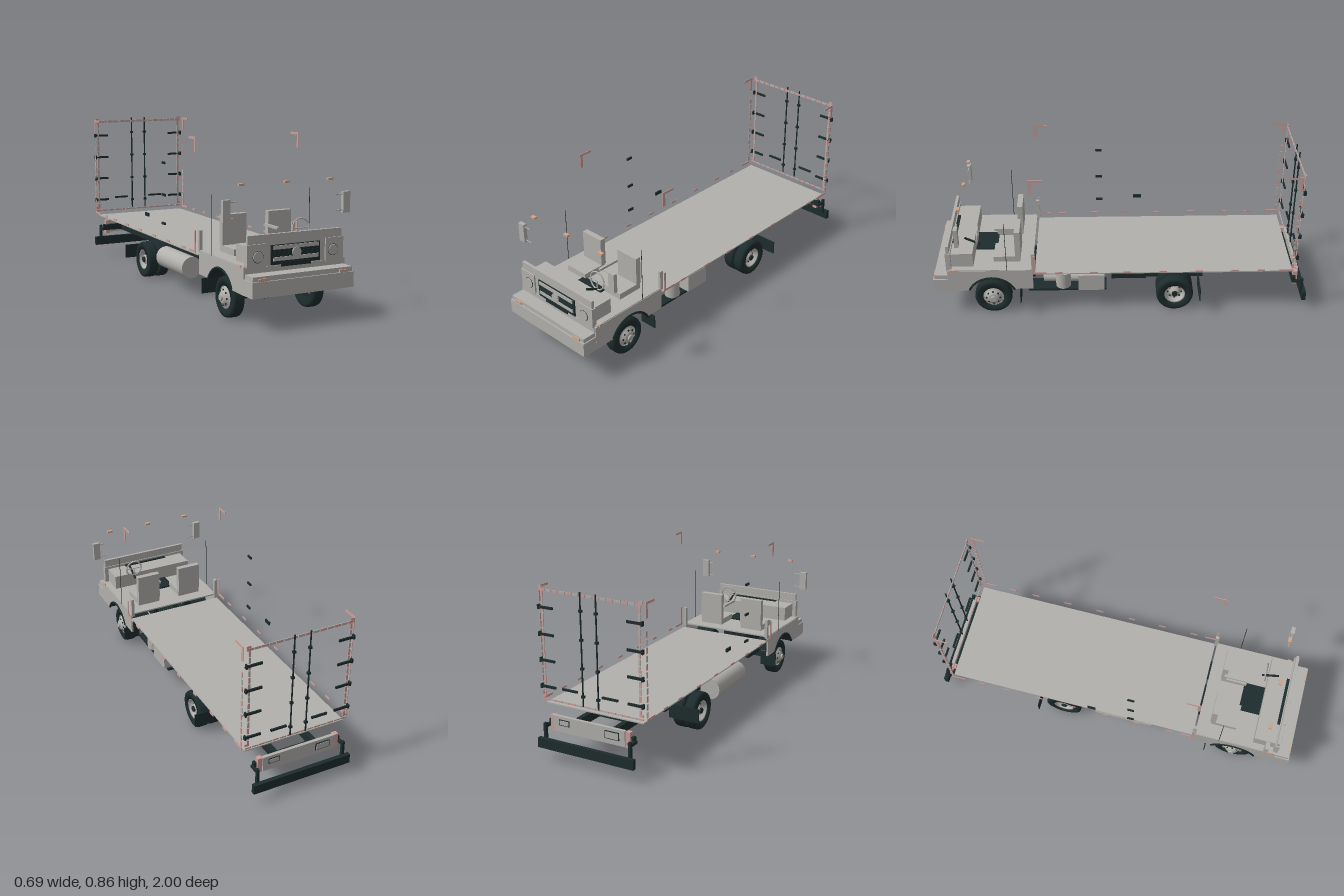
import * as THREE from 'three';

const mat = (name, color) => Object.assign(new THREE.MeshStandardMaterial({ color }), { name });

export function createModel() {
  const truck = new THREE.Group();
  truck.name = 'openTruck';
  const grey = mat('bodyGrey', 0xb2b0ac);
  const dark = mat('chassisBlack', 0x1e2c2d);
  const pink = mat('tapePink', 0xcb9d99);
  const orange = mat('lampOrange', 0xd3a284);
  const greySheet = mat('sheetGrey', 0xb2b0ac);
  greySheet.side = THREE.DoubleSide;
  const darkSheet = mat('linerBlack', 0x1e2c2d);
  darkSheet.side = THREE.DoubleSide;

  const add = (name, geo, m, x = 0, y = 0, z = 0, parent = truck) => {
    const mesh = new THREE.Mesh(geo, m);
    mesh.name = name;
    mesh.position.set(x, y, z);
    parent.add(mesh);
    return mesh;
  };
  // Box given by its low and high limits on each axis
  const box = (name, m, x0, x1, y0, y1, z0, z1) => add(name,
    new THREE.BoxGeometry(x1 - x0, y1 - y0, z1 - z0), m, (x0 + x1) / 2, (y0 + y1) / 2, (z0 + z1) / 2);
  // The same box on both sides of the truck
  const pair = (name, m, x0, x1, ...r) => {
    box(name + 'Left', m, x0, x1, ...r);
    box(name + 'Right', m, -x1, -x0, ...r);
  };
  // Round bar between two points
  const rod = (name, m, a, b, r, r2 = r, sides = 20) => {
    const p = new THREE.Vector3(...a), d = new THREE.Vector3(...b).sub(p);
    const mesh = add(name, new THREE.CylinderGeometry(r2, r, d.length(), sides), m);
    mesh.position.copy(p).addScaledVector(d, 0.5);
    mesh.quaternion.setFromUnitVectors(new THREE.Vector3(0, 1, 0), d.normalize());
    return mesh;
  };
  const lathe = (pts) => new THREE.LatheGeometry(pts.map(p => new THREE.Vector2(...p)), 36);

  // Cargo floor and ladder chassis
  box('cargoFloor', grey, -0.275, 0.275, 0.262, 0.268, -0.91, 0.46);
  pair('chassisRail', dark, 0.095, 0.12, 0.16, 0.205, -0.95, 0.47);
  pair('frontRail', dark, 0.095, 0.12, 0.135, 0.18, 0.47, 0.91);
  for (const z of [0.85, 0.5, 0.3, 0.08, -0.2, -0.38, -0.55, -0.72, -0.9])
    box('crossMember', dark, -0.1, 0.1, 0.165, 0.185, z - 0.015, z + 0.015);
  pair('leafSpringRear', dark, 0.1, 0.12, 0.125, 0.145, -0.45, -0.12);
  pair('leafSpringFront', dark, 0.1, 0.125, 0.115, 0.135, 0.53, 0.85);

  // Wheels: axis along y, outer face up, then turned to the side
  const tyreGeo = lathe([[0.056, -0.026], [0.085, -0.031], [0.097, -0.027], [0.1, -0.018], [0.1, 0.018],
    [0.097, 0.027], [0.085, 0.031], [0.056, 0.026], [0.056, -0.026]]);
  const frontRim = lathe([[0.057, -0.02], [0.057, 0.026], [0.05, 0.02], [0.044, 0.03], [0.028, 0.04], [0.024, 0.045], [0, 0.045]]);
  const rearRim = lathe([[0.057, -0.02], [0.057, 0.026], [0.05, 0.022], [0.044, 0], [0.03, -0.004], [0.022, 0.018], [0, 0.018]]);
  const wheel = (name, x, z, s, rimGeo) => {
    const g = new THREE.Group();
    g.name = name;
    g.position.set(s * x, 0.1, z);
    g.rotation.z = -s * Math.PI / 2;
    add('tyre', tyreGeo, dark, 0, 0, 0, g);
    add('rim', rimGeo, greySheet, 0, 0, 0, g);
    const front = rimGeo === frontRim;
    for (let i = 0; i < 8; i++) {
      const a = i * Math.PI / 4;
      add('rimHole', new THREE.CylinderGeometry(0.005, 0.005, 0.004, 8), dark,
        0.037 * Math.cos(a), front ? 0.035 : 0, 0.037 * Math.sin(a), g);
    }
    add('hub', new THREE.CylinderGeometry(0.015, 0.017, 0.012, 16), front ? grey : dark, 0, front ? 0.047 : 0.02, 0, g);
    truck.add(g);
    return g;
  };
  for (const s of [1, -1]) {
    wheel('frontWheel', 0.222, 0.69, s, frontRim);
    wheel('rearOuterWheel', 0.223, -0.29, s, rearRim);
    wheel('rearInnerWheel', 0.157, -0.29, s, rearRim);
  }
  const spare = wheel('spareWheel', 0, -0.045, 1, rearRim);
  spare.rotation.z = Math.PI;
  spare.position.y = 0.135;
  pair('rearMudFlap', dark, 0.13, 0.3, 0.09, 0.165, -0.425, -0.42);
  pair('frontMudFlap', dark, 0.2, 0.295, 0.09, 0.165, 0.537, 0.542);

  // Axles and drive line
  box('frontAxle', dark, -0.22, 0.22, 0.085, 0.112, 0.675, 0.705);
  rod('rearAxle', dark, [-0.22, 0.1, -0.29], [0.22, 0.1, -0.29], 0.018);
  const diff = add('differential', new THREE.SphereGeometry(0.045, 20, 14), dark, 0, 0.1, -0.29);
  diff.scale.set(1, 0.95, 1.1);
  rod('driveShaft', dark, [0, 0.155, 0.45], [0, 0.11, -0.27], 0.011);
  box('gearbox', dark, -0.05, 0.05, 0.12, 0.2, 0.45, 0.6);
  box('engineBlock', dark, -0.075, 0.075, 0.12, 0.27, 0.6, 0.82);

  // Equipment hung below the floor
  rod('fuelTank', grey, [-0.195, 0.147, -0.1], [-0.195, 0.147, 0.225], 0.057, 0.057, 32);
  rod('airFilter', grey, [0.2, 0.14, 0.312], [0.2, 0.23, 0.312], 0.04, 0.04, 28);
  rod('filterCap', grey, [0.2, 0.13, 0.312], [0.2, 0.14, 0.312], 0.028);
  box('batteryBox', grey, 0.14, 0.24, 0.13, 0.225, 0.09, 0.23);
  rod('silencer', grey, [0.15, 0.16, 0.2], [0.15, 0.16, 0.42], 0.028);
  rod('exhaustPipe', grey, [0.13, 0.172, 0.42], [0.1, 0.172, 0.63], 0.009);
  box('equipmentTray', dark, 0.12, 0.22, 0.115, 0.127, 0.08, 0.5);
  pair('spareCarrier', dark, 0.09, 0.11, 0.11, 0.17, -0.14, 0.05);

  // Cab tub: skirts with wheel arches, floor, liners
  const skirt = new THREE.Shape();
  skirt.moveTo(0.47, 0.17);
  skirt.lineTo(0.57, 0.17);
  skirt.absarc(0.69, 0.11, 0.134, Math.PI - 0.46, 0.4, true);
  skirt.lineTo(0.92, 0.16);
  skirt.lineTo(0.92, 0.288);
  skirt.lineTo(0.47, 0.288);
  const skirtGeo = new THREE.ExtrudeGeometry(skirt, { depth: 0.01, bevelEnabled: false, curveSegments: 24 });
  skirtGeo.rotateY(-Math.PI / 2);
  for (const s of [1, -1]) {
    add('cabSkirt', skirtGeo, grey, s > 0 ? 0.275 : -0.265, 0, 0);
    const liner = add('archLiner', new THREE.CylinderGeometry(0.132, 0.132, 0.11, 24, 1, true, 0.44, Math.PI - 0.88), darkSheet, s * 0.225, 0.11, 0.69);
    liner.rotation.set(0, 0, Math.PI / 2);
    const rim = add('archLip', new THREE.TorusGeometry(0.133, 0.006, 6, 28, Math.PI - 0.88), dark, s * 0.276, 0.11, 0.69);
    rim.rotation.set(0, Math.PI / 2, 0);
    rim.geometry.rotateZ(0.44);
    rod('doorRod', dark, [s * 0.277, 0.29, 0.605], [s * 0.277, 0.585, 0.605], 0.0015, 0.0015, 6);
  }
  box('cabFloor', grey, -0.272, 0.272, 0.284, 0.292, 0.47, 0.91);
  box('engineCover', dark, -0.08, 0.08, 0.292, 0.3, 0.67, 0.79);
  pair('cabRearPost', grey, 0.258, 0.274, 0.28, 0.39, 0.455, 0.475);

  // Front panel, grille and headlamps
  box('bumper', grey, -0.274, 0.274, 0.16, 0.235, 0.915, 1);
  box('bumperTop', grey, -0.268, 0.268, 0.235, 0.258, 0.915, 0.992);
  box('frontApron', grey, -0.266, 0.266, 0.235, 0.285, 0.9, 0.922);
  box('frontPanel', grey, -0.262, 0.262, 0.285, 0.39, 0.9, 0.918);
  box('frontUpperPanel', grey, -0.256, 0.256, 0.39, 0.433, 0.905, 0.92);
  box('grille', dark, -0.133, 0.133, 0.288, 0.381, 0.885, 0.924);
  for (const y of [0.369, 0.315]) box('grilleBar', grey, -0.122, 0.122, y - 0.009, y + 0.009, 0.924, 0.929);
  for (let i = 0; i < 4; i++) box('grilleSlat', dark, -0.122, 0.122, 0.326 + i * 0.009, 0.33 + i * 0.009, 0.924, 0.928);
  box('grilleLowerVent', dark, -0.08, 0.08, 0.278, 0.298, 0.922, 0.928);
  rod('grilleDisc', grey, [0, 0.341, 0.92], [0, 0.341, 0.934], 0.023, 0.023, 28);
  pair('headlampPanel', grey, 0.163, 0.262, 0.278, 0.392, 0.918, 0.926);
  for (const s of [1, -1]) {
    rod('headlamp', grey, [s * 0.204, 0.333, 0.925], [s * 0.204, 0.333, 0.931], 0.027, 0.025, 28);
    add('headlampRing', new THREE.TorusGeometry(0.027, 0.0012, 6, 28), dark, s * 0.204, 0.333, 0.927);
  }
  pair('indicator', orange, 0.196, 0.241, 0.232, 0.248, 0.985, 0.998);
  pair('sideIndicator', orange, 0.272, 0.278, 0.282, 0.296, 0.875, 0.895);

  // Cab interior
  box('dashboard', grey, -0.24, 0.24, 0.295, 0.375, 0.785, 0.9);
  pair('seatBase', grey, 0.062, 0.195, 0.292, 0.324, 0.54, 0.68);
  pair('seatBack', grey, 0.062, 0.195, 0.324, 0.475, 0.535, 0.565);
  box('armrest', grey, 0.045, 0.06, 0.4, 0.412, 0.55, 0.68);
  const ring = add('steeringWheel', new THREE.TorusGeometry(0.047, 0.004, 8, 32), grey, 0.127, 0.417, 0.765);
  ring.rotation.x = -0.1;
  rod('steeringSpoke', grey, [0.082, 0.417, 0.765], [0.172, 0.417, 0.765], 0.003, 0.003, 8);
  rod('steeringSpoke', grey, [0.127, 0.417, 0.765], [0.127, 0.372, 0.767], 0.003, 0.003, 8);
  rod('steeringColumn', dark, [0.127, 0.36, 0.75], [0.127, 0.402, 0.835], 0.006, 0.006, 10);

  // Mirrors and roof lamps
  pair('mirror', grey, 0.308, 0.347, 0.49, 0.593, 0.835, 0.855);
  for (const y of [0.503, 0.58]) pair('mirrorArm', grey, 0.268, 0.31, y - 0.002, y + 0.002, 0.843, 0.847);
  for (const x of [-0.243, 0, 0.243]) box('roofLamp', orange, x - 0.014, x + 0.014, 0.652, 0.662, 0.825, 0.842);

  // Side door hinges and latch
  for (const y of [0.69, 0.523, 0.372]) box('sideDoorHinge', dark, -0.307, -0.299, y - 0.006, y + 0.006, 0.097, 0.133);
  box('sideDoorLatch', dark, -0.307, -0.299, 0.38, 0.398, -0.125, -0.08);

  // Side marking strips
  const sideStrip = (m, y0, y1, z0, z1) => pair('sideStrip', m, 0.292, 0.295, y0, y1, z0, z1);
  for (const [za, zb, edge] of [[0.395, 0.47, 0.462], [-0.91, -0.835, -0.902]]) {
    sideStrip(pink, 0.838, 0.85, za, zb);
    sideStrip(pink, 0.773, 0.838, edge - 0.008, edge + 0.008);
    sideStrip(pink, 0.279, 0.29, za, zb);
  }
  sideStrip(pink, 0.29, 0.39, 0.455, 0.468);
  [0.33, 0.145, -0.03, -0.22, -0.41, -0.6, -0.74].forEach(z => sideStrip(pink, 0.279, 0.29, z - 0.02, z + 0.02));
  for (let i = 0; i < 11; i++)
    sideStrip(i % 2 ? grey : pink, 0.295 + i * 0.039, 0.325 + i * 0.039, -0.91, -0.898);

  // Rear door frame strips
  for (let i = 0; i < 15; i++) {
    const x = -0.266 + i * 0.038, m = i % 2 ? grey : pink;
    box('rearTopStrip', m, x - 0.017, x + 0.017, 0.831, 0.843, -0.925, -0.921);
    box('rearBottomStrip', m, x - 0.017, x + 0.017, 0.286, 0.294, -0.925, -0.921);
  }
  for (let i = 0; i < 15; i++)
    pair('rearSideStrip', i % 2 ? grey : pink, 0.262, 0.273, 0.302 + i * 0.0355, 0.333 + i * 0.0355, -0.925, -0.921);
  for (const y of [0.85, 0.308]) pair('rearCornerStrip', pink, 0.262, 0.284, y - 0.006, y + 0.006, -0.925, -0.921);

  // Rear door hinges, lock rods and handles
  for (const y of [0.753, 0.62, 0.49, 0.357]) {
    pair('doorHinge', dark, 0.203, 0.286, y - 0.006, y + 0.006, -0.932, -0.924);
    pair('hingeKnuckle', dark, 0.28, 0.289, y - 0.011, y + 0.011, -0.934, -0.918);
  }
  for (const s of [1, -1]) {
    rod('lockRod', dark, [s * 0.043, 0.295, -0.933], [s * 0.043, 0.856, -0.933], 0.004, 0.004, 10);
    for (const y of [0.766, 0.626, 0.485, 0.345])
      box('rodGuide', dark, s * 0.043 - 0.008, s * 0.043 + 0.008, y - 0.006, y + 0.006, -0.939, -0.926);
  }
  pair('lockHandle', dark, 0.07, 0.155, 0.36, 0.37, -0.944, -0.934);

  // Rear lamp panel and underrun bumper
  box('rearLampPanel', grey, -0.2, 0.2, 0.15, 0.23, -0.957, -0.94);
  pair('rearLamp', pink, 0.2, 0.225, 0.145, 0.225, -0.95, -0.925);
  box('plateFrame', dark, -0.17, -0.09, 0.175, 0.215, -0.96, -0.957);
  box('plate', grey, -0.166, -0.094, 0.179, 0.211, -0.962, -0.96);
  box('lampOutline', dark, 0.11, 0.17, 0.185, 0.215, -0.959, -0.957);
  box('lampFace', grey, 0.114, 0.166, 0.189, 0.211, -0.961, -0.959);
  box('rearCrossBeam', dark, -0.24, 0.24, 0.165, 0.2, -0.94, -0.92);
  box('underrunBar', dark, -0.27, 0.27, 0.065, 0.115, -1, -0.978);
  pair('underrunPost', dark, 0.232, 0.246, 0.1, 0.19, -0.982, -0.966);
  pair('underrunArm', dark, 0.232, 0.246, 0.165, 0.18, -0.97, -0.92);

  return truck;
}
